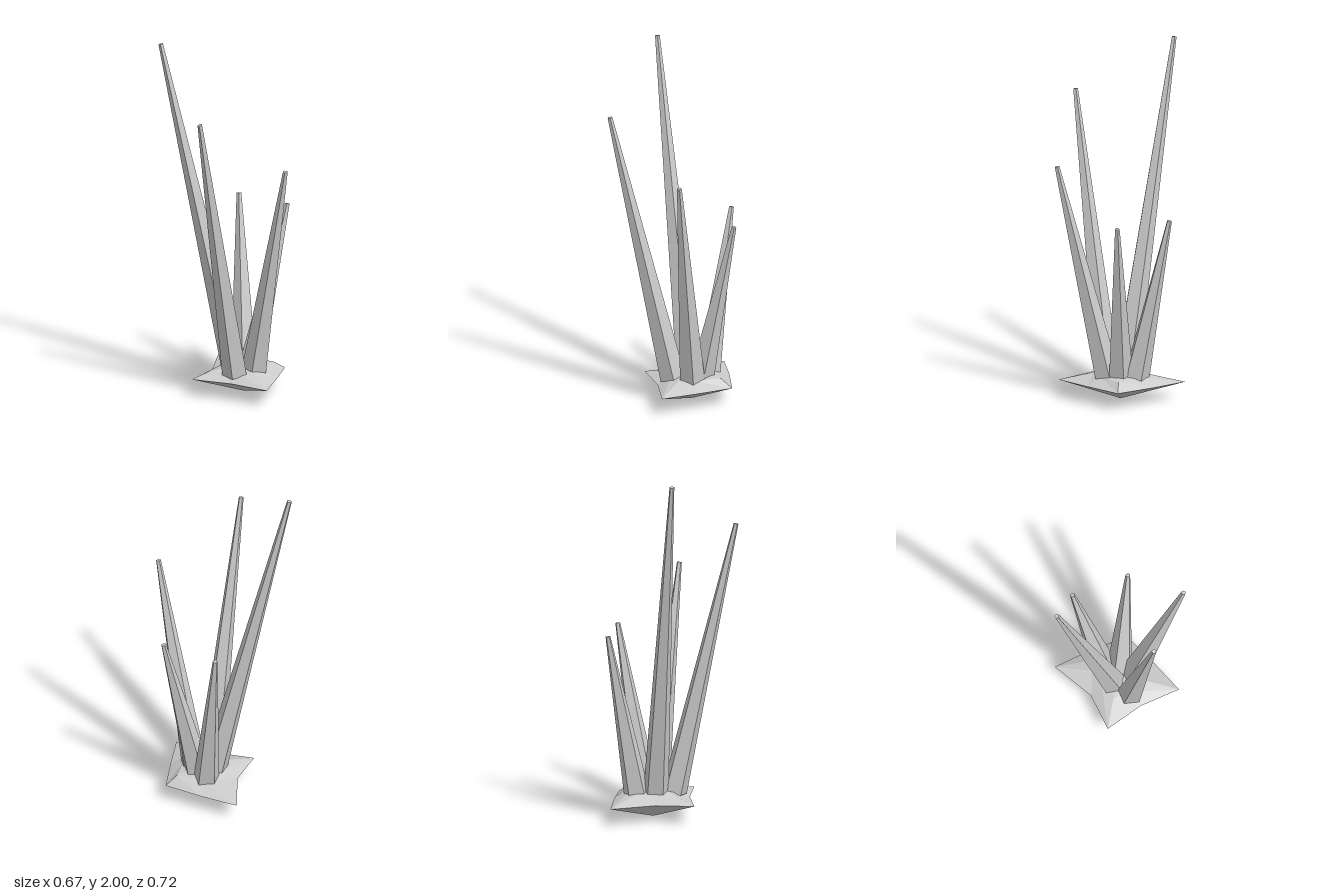
import * as THREE from 'three';

const grey = () => new THREE.MeshStandardMaterial({ color: 0xcccccc, flatShading: true });

// Low star-shaped rock: bottom point, rim, raised shoulder ring, top point.
function makeBase() {
  const cx = 0.055;
  const rim = [
    [0.31, 0], [0.185, 0.175], [cx, 0.345], [-0.08, 0.155],
    [-0.25, 0], [-0.075, -0.13], [cx, -0.36], [0.185, -0.19],
  ];
  const shrink = [0.72, 0.6, 0.45, 0.6, 0.45, 0.6, 0.4, 0.6];
  const outer = rim.map(([x, z]) => [x, 0.105, z]);
  const shoulder = rim.map(([x, z], i) => [cx + (x - cx) * shrink[i], 0.15, z * shrink[i]]);
  const bottom = [cx, 0.003, 0];
  const top = [cx, 0.17, 0];

  const pos = [];
  const tri = (...corners) => corners.forEach((c) => pos.push(...c));
  for (let i = 0; i < rim.length; i++) {
    const j = (i + 1) % rim.length;
    tri(bottom, outer[i], outer[j]);
    tri(outer[i], shoulder[j], outer[j]);
    tri(outer[i], shoulder[i], shoulder[j]);
    tri(top, shoulder[j], shoulder[i]);
  }
  const geo = new THREE.BufferGeometry();
  geo.setAttribute('position', new THREE.Float32BufferAttribute(pos, 3));
  geo.computeVertexNormals();
  const mesh = new THREE.Mesh(geo, grey());
  mesh.name = 'rockBase';
  return mesh;
}

// Five-sided tapering spike between two points, with one edge facing inwards.
function makeSpike(name, foot, tip) {
  const a = new THREE.Vector3(...foot);
  const b = new THREE.Vector3(...tip);
  const dir = b.clone().sub(a);
  const length = dir.length();
  const inward = Math.atan2(dir.z, dir.x) + Math.PI + 0.26;
  const geo = new THREE.CylinderGeometry(0.014, 0.074, length, 5, 1, false, Math.PI / 2 - inward);
  const mesh = new THREE.Mesh(geo, grey());
  mesh.position.copy(a).add(b).multiplyScalar(0.5);
  mesh.quaternion.setFromUnitVectors(new THREE.Vector3(0, 1, 0), dir.normalize());
  mesh.name = name;
  return mesh;
}

export function createModel() {
  const model = new THREE.Group();
  model.name = 'crystalSpikes';
  model.add(makeBase());

  const spikes = [
    ['tallBackSpike', [0.015, 0.14, -0.025], [-0.325, 1.998, -0.275]],
    ['frontRightSpike', [-0.025, 0.14, 0.085], [-0.317, 1.688, 0.275]],
    ['frontLeftSpike', [0.095, 0.14, 0.075], [0.168, 1.376, 0.348]],
    ['leftSpike', [0.11, 0.14, 0], [0.322, 1.066, 0.003]],
    ['backLeftSpike', [0.1, 0.14, -0.09], [0.147, 1.066, -0.278]],
  ];
  for (const [name, foot, tip] of spikes) model.add(makeSpike(name, foot, tip));
  return model;
}
